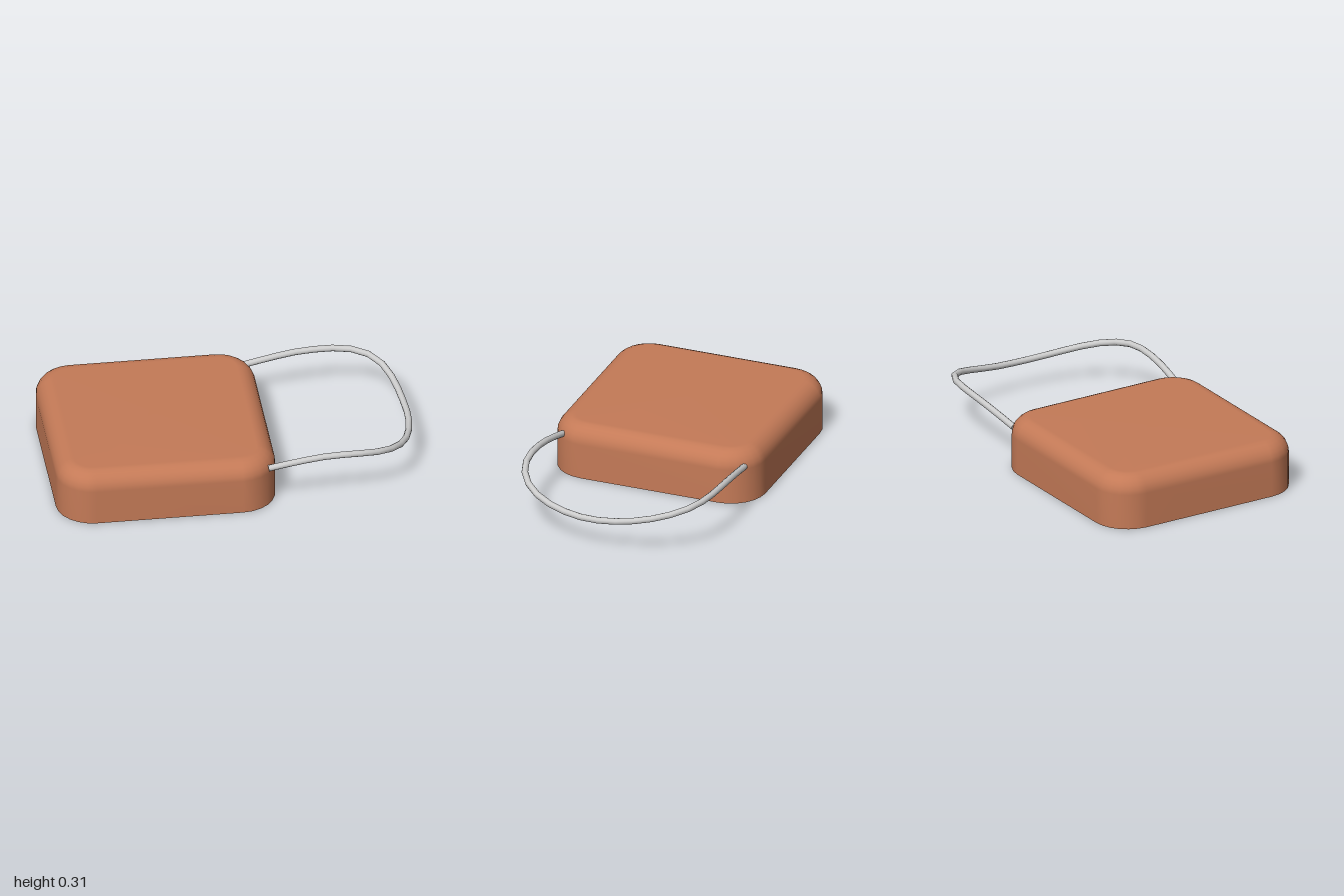
import * as THREE from 'three';

const brown = new THREE.MeshStandardMaterial({ color: 0xc47a57, side: THREE.DoubleSide });
const grey = new THREE.MeshStandardMaterial({ color: 0xcccccc });

const SIZE = 1.2, HEIGHT = 0.3, CORNER = 0.2, BEVEL = 0.1;
const CORNER_STEPS = 6, BEVEL_STEPS = 6;

// Rounded square at a given height, pulled in by an inset
function ring(y, inset) {
  const points = [];
  const straight = SIZE / 2 - CORNER;
  const signs = [[1, 1], [-1, 1], [-1, -1], [1, -1]];
  signs.forEach(([sx, sz], q) => {
    for (let i = 0; i <= CORNER_STEPS; i++) {
      const a = (q + i / CORNER_STEPS) * Math.PI / 2;
      const r = CORNER - inset;
      points.push(sx * straight + r * Math.cos(a), y, -sz * straight - r * Math.sin(a));
    }
  });
  return points;
}

// Open-bottomed shell: straight walls, rounded top edge, flat top
function shellGeometry() {
  const n = 4 * (CORNER_STEPS + 1);
  const rings = [ring(0, 0)];
  for (let i = 0; i <= BEVEL_STEPS; i++) {
    const a = i / BEVEL_STEPS * Math.PI / 2;
    rings.push(ring(HEIGHT - BEVEL + BEVEL * Math.sin(a), BEVEL * (1 - Math.cos(a))));
  }
  const positions = [...rings.flat(), 0, HEIGHT, 0];
  const centre = rings.length * n;
  const index = [];
  for (let i = 0; i < n; i++) {
    const j = (i + 1) % n;
    for (let k = 0; k < rings.length - 1; k++) {
      const lo = k * n, hi = lo + n;
      index.push(lo + i, lo + j, hi + i, lo + j, hi + j, hi + i);
    }
    index.push(centre - n + i, centre - n + j, centre);
  }
  const geometry = new THREE.BufferGeometry();
  geometry.setAttribute('position', new THREE.Float32BufferAttribute(positions, 3));
  geometry.setIndex(index);
  geometry.computeVertexNormals();
  return geometry;
}

export function createModel() {
  const model = new THREE.Group();
  model.name = 'cushionWithHandle';

  const shell = new THREE.Mesh(shellGeometry(), brown);
  shell.name = 'cushionShell';
  shell.position.x = -0.4;
  model.add(shell);

  // Bent wire loop, from the front corner round to the back corner
  const handle = new THREE.Group();
  handle.name = 'handle';
  const path = new THREE.CatmullRomCurve3([
    [0.15, 0.225, 0.525], [0.32, 0.265, 0.54], [0.48, 0.288, 0.545], [0.63, 0.287, 0.54],
    [0.76, 0.265, 0.5], [0.86, 0.235, 0.42], [0.925, 0.206, 0.31], [0.967, 0.183, 0.16],
    [0.98, 0.177, 0.02], [0.968, 0.188, -0.14], [0.938, 0.218, -0.3], [0.885, 0.248, -0.42],
    [0.8, 0.268, -0.5], [0.67, 0.276, -0.54], [0.45, 0.265, -0.55], [0.3, 0.243, -0.543],
    [0.14, 0.214, -0.533],
  ].map(p => new THREE.Vector3(...p)));
  const radius = 0.018, sides = 10;
  const wire = new THREE.Mesh(new THREE.TubeGeometry(path, 24, radius, sides), grey);
  wire.name = 'handleWire';
  handle.add(wire);

  // Flat wire ends
  for (const [t, dir] of [[0, -1], [1, 1]]) {
    const cap = new THREE.Mesh(new THREE.CircleGeometry(radius, sides), grey);
    cap.name = 'handleEnd';
    cap.position.copy(path.getPointAt(t));
    cap.lookAt(cap.position.clone().addScaledVector(path.getTangentAt(t), dir));
    handle.add(cap);
  }
  model.add(handle);
  return model;
}
